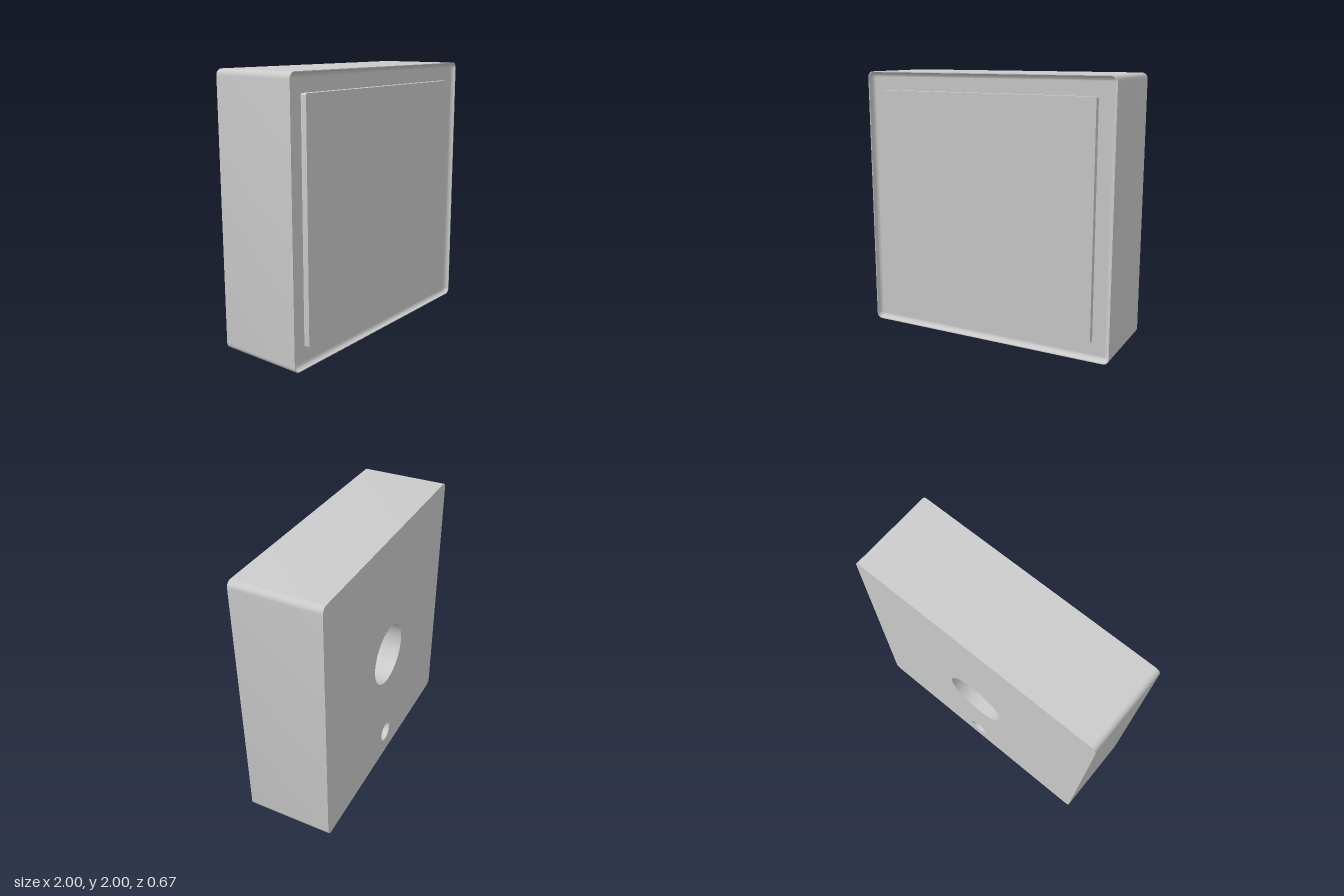
import * as THREE from 'three';
import { toCreasedNormals } from 'three/addons/utils/BufferGeometryUtils.js';

const BACK = -0.335, RIM = 0.328, FLOOR = 0.29, FRONT = 0.335;
const material = new THREE.MeshStandardMaterial({ color: 0xcccccc });

// Rounded square outline, counter-clockwise from the front
function outline(half, radius, steps = 8) {
  const pts = [];
  const c = half - radius;
  [[1, 1], [-1, 1], [-1, -1], [1, -1]].forEach(([sx, sy], k) => {
    for (let i = 0; i <= steps; i++) {
      const a = (k + i / steps) * Math.PI / 2;
      pts.push(new THREE.Vector2(sx * c + radius * Math.cos(a), sy * c + radius * Math.sin(a)));
    }
  });
  return pts;
}

// Skin joining a list of [inset, z] sections of the body outline
function skin(sections) {
  const pos = [], index = [];
  let n = 0;
  for (const [inset, z] of sections) {
    const ring = outline(1 - inset, 0.045 - inset);
    n = ring.length;
    ring.forEach(p => pos.push(p.x, p.y, z));
  }
  for (let s = 0; s < sections.length - 1; s++) {
    for (let i = 0; i < n; i++) {
      const j = (i + 1) % n;
      const a = s * n + i, b = s * n + j;
      index.push(a, b, b + n, a, b + n, a + n);
    }
  }
  const g = new THREE.BufferGeometry();
  g.setAttribute('position', new THREE.Float32BufferAttribute(pos, 3));
  g.setIndex(index);
  return toCreasedNormals(g, 0.6);
}

function circlePath(y, r) {
  return new THREE.Path().absarc(0, y, r, 0, Math.PI * 2, true);
}

export function createModel() {
  const model = new THREE.Group();
  const add = (name, geometry, mat = material) => {
    const mesh = new THREE.Mesh(geometry, mat);
    mesh.name = name;
    model.add(mesh);
    return mesh;
  };

  // Outer walls, thin front rim and the hollow fillet down to the recess
  const sections = [[0, BACK], [0, RIM]];
  for (let i = 0; i <= 8; i++) {
    const t = i / 8 * Math.PI / 2;
    sections.push([0.006 + 0.034 * (1 - Math.cos(t)), RIM - (RIM - FLOOR) * Math.sin(t)]);
  }
  add('bodyShell', skin(sections));

  // Recess floor around the raised panel
  const panelOutline = outline(0.86, 0.012);
  const floor = new THREE.Shape(outline(0.96, 0.005));
  floor.holes.push(new THREE.Path(panelOutline));
  add('recessFloor', new THREE.ShapeGeometry(floor)).position.z = FLOOR;

  // Raised front panel
  const panel = new THREE.ExtrudeGeometry(new THREE.Shape(panelOutline),
    { depth: FRONT - FLOOR, bevelEnabled: false });
  add('frontPanel', toCreasedNormals(panel, 0.6)).position.z = FLOOR;

  // Back face with two blind holes: [name, y, radius, depth]
  const bores = [['mainBore', 0, 0.24, 0.34], ['smallBore', -0.79, 0.08, 0.34]];
  const back = new THREE.Shape(outline(1, 0.045));
  bores.forEach(([, y, r]) => back.holes.push(circlePath(y, r)));
  const backFace = add('backFace', new THREE.ShapeGeometry(back, 32).rotateY(Math.PI));
  backFace.position.z = BACK;

  const inside = material.clone();
  inside.side = THREE.BackSide;
  for (const [name, y, r, depth] of bores) {
    const wall = new THREE.CylinderGeometry(r, r, depth, 64, 1, true).rotateX(Math.PI / 2);
    add(name + 'Wall', wall, inside).position.set(0, y, BACK + depth / 2);
    const end = new THREE.CircleGeometry(r, 64).rotateY(Math.PI);
    add(name + 'End', end).position.set(0, y, BACK + depth);
  }

  // Stand the block on the ground
  model.children.forEach(m => { m.position.y += 1; });
  return model;
}
